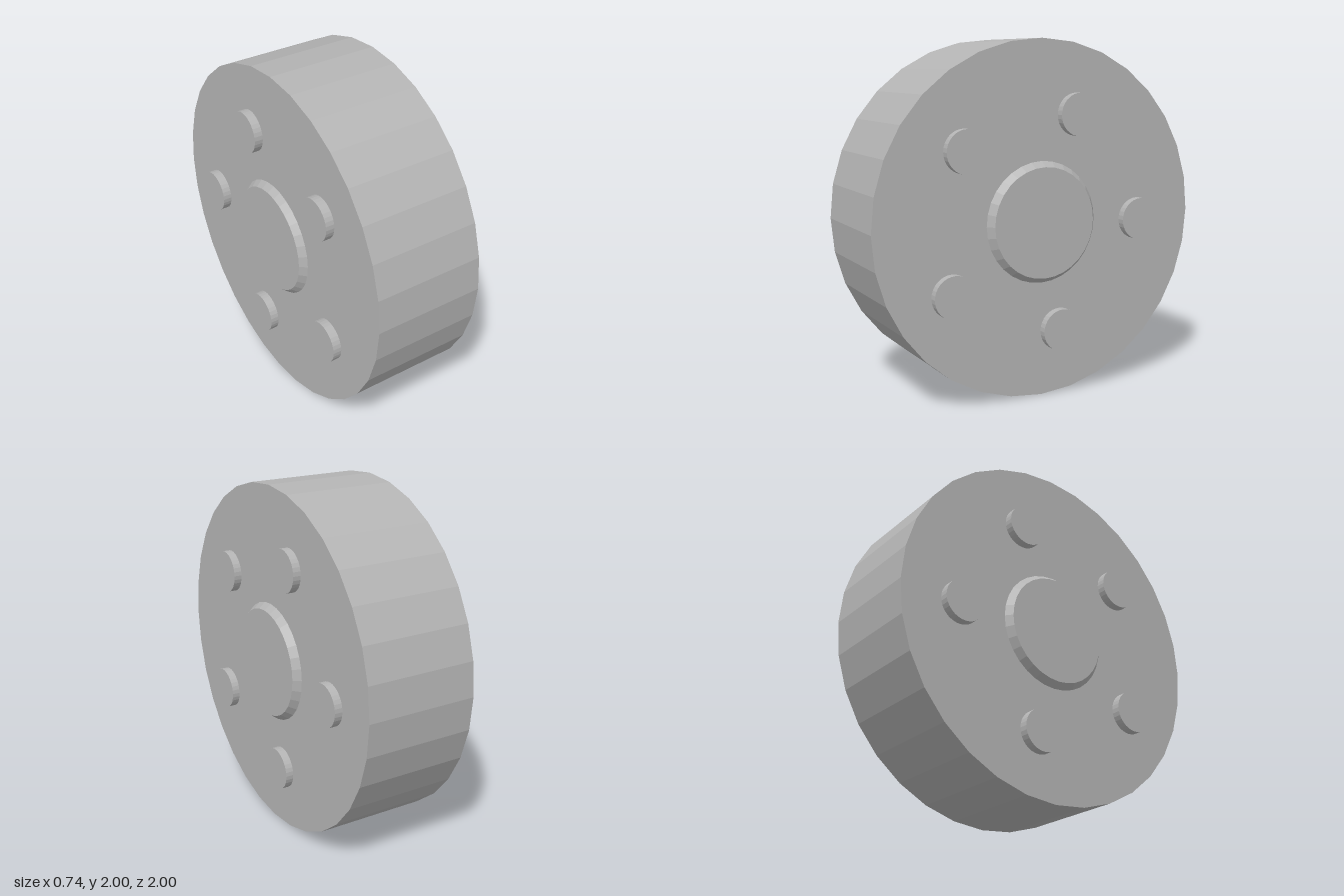
import * as THREE from 'three';

export function createModel() {
  const model = new THREE.Group();
  const grey = new THREE.MeshStandardMaterial({ color: 0xb4b4b4, flatShading: true });
  grey.name = 'light grey';

  // Disc or frustum along x, running from x0 (radius r0) to x1 (radius r1)
  function disc(name, x0, x1, r0, r1, y, z) {
    const geometry = new THREE.CylinderGeometry(r1, r0, Math.abs(x1 - x0), 32);
    geometry.rotateZ(x1 > x0 ? -Math.PI / 2 : Math.PI / 2);
    const mesh = new THREE.Mesh(geometry, grey);
    mesh.name = name;
    mesh.position.set((x0 + x1) / 2, y, z);
    model.add(mesh);
  }

  // Wheel body
  disc('wheelBody', -0.323, 0.323, 1, 1, 1, 0);

  // Centres of the studs as [z, y]
  const studs = [[0.474, 1.407], [-0.219, 1.584], [-0.634, 0.971], [-0.115, 0.372], [0.551, 0.634]];

  for (const [label, side, studEnd, hubEnd] of [['left', 1, 0.368, 0.364], ['right', -1, 0.373, 0.361]]) {
    // Chamfered hub cap
    disc(label + 'HubCap', side * 0.32, side * hubEnd, 0.344, 0.311, 0.992, 0);
    // Ring of five studs
    studs.forEach(([z, y], i) =>
      disc(label + 'Stud' + (i + 1), side * 0.3, side * studEnd, 0.12, 0.12, y, z));
  }
  return model;
}
